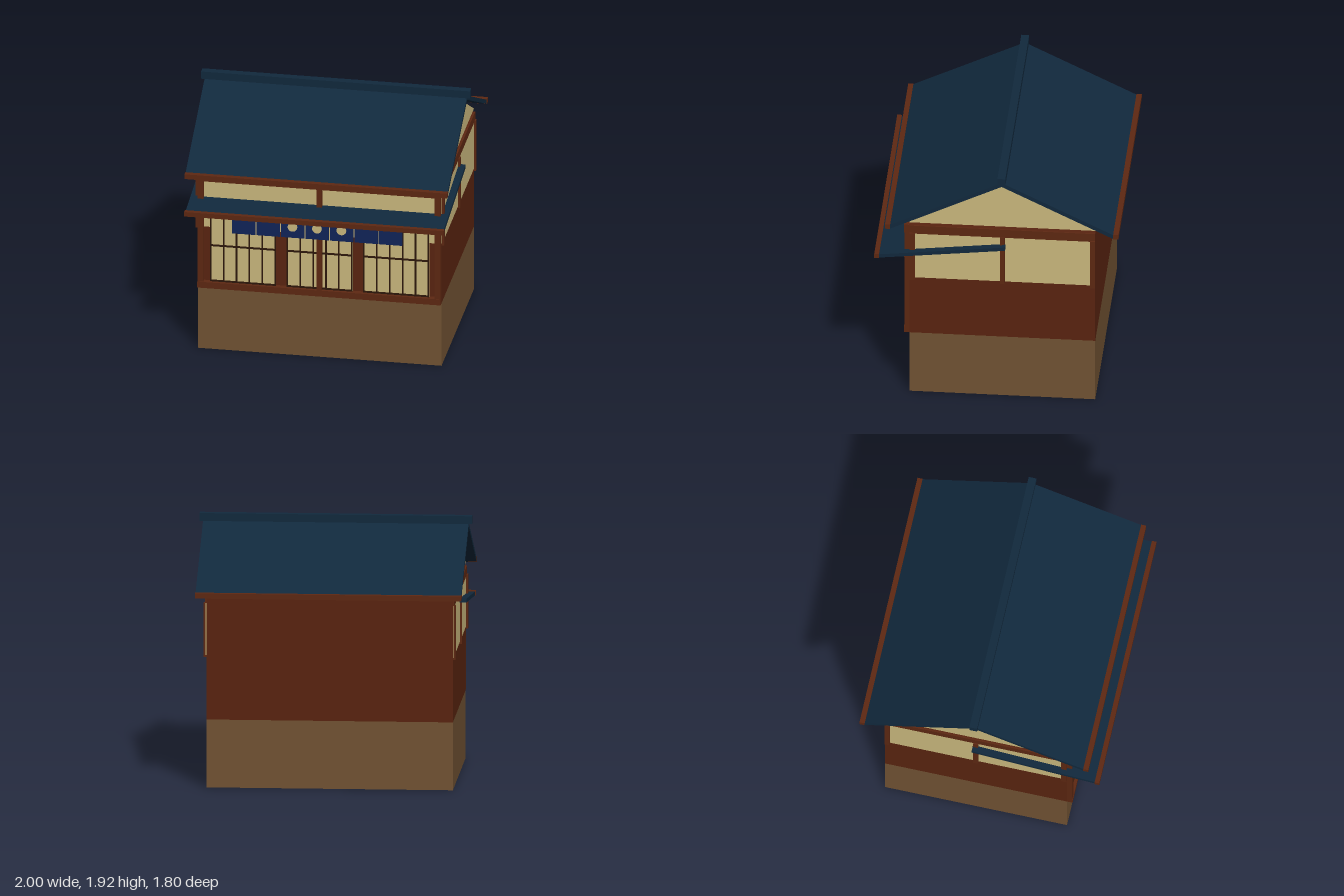
import * as THREE from 'three';

const mat = (name, color) => {
  const m = new THREE.MeshStandardMaterial({ color });
  m.name = name;
  return m;
};

export function createModel() {
  const model = new THREE.Group();
  model.name = 'shopHouse';
  const stone = mat('earth brown', 0x725333);
  const wallWood = mat('wall wood', 0x5a2410);
  const trim = mat('trim wood', 0x5e2812);
  const plaster = mat('cream', 0xcbb97e);
  const tile = mat('roof navy', 0x11293d);
  const cloth = mat('curtain blue', 0x102459);
  const dark = mat('lattice brown', 0x2d170a);

  const add = (name, geometry, material) => {
    const mesh = new THREE.Mesh(geometry, material);
    mesh.name = name;
    model.add(mesh);
    return mesh;
  };
  // Box given by its limits on each axis
  const box = (name, material, x0, x1, y0, y1, z0, z1) => {
    const m = add(name, new THREE.BoxGeometry(x1 - x0, y1 - y0, z1 - z0), material);
    m.position.set((x0 + x1) / 2, (y0 + y1) / 2, (z0 + z1) / 2);
    return m;
  };
  // Sloping slab whose centre line runs between two (z, y) points
  const slab = (name, halfWidth, thick, z0, y0, z1, y1) => {
    const length = Math.hypot(z1 - z0, y1 - y0);
    const m = add(name, new THREE.BoxGeometry(halfWidth * 2, thick, length), tile);
    m.position.set(0, (y0 + y1) / 2, (z0 + z1) / 2);
    m.rotation.x = -Math.atan2(y1 - y0, z1 - z0);
  };

  const W = 0.905, F = 0.645, B = -0.72, ridgeZ = -0.0375;

  // Body
  box('foundation', stone, -W, W, 0, 0.505, B, F);
  box('walls', wallWood, -W, W, 0.505, 1.43, B, F);

  // Side walls: plaster, posts, header and gable
  const gable = new THREE.Shape([
    new THREE.Vector2(-F, 1.455), new THREE.Vector2(-B, 1.455), new THREE.Vector2(-ridgeZ, 1.85),
  ]);
  for (const s of [1, -1]) {
    const side = (name, material, depth, y0, y1, z0, z1) =>
      box(name, material, Math.min(s * W, s * (W + depth)), Math.max(s * W, s * (W + depth)), y0, y1, z0, z1);
    side('sidePlaster', plaster, 0.005, 0.985, 1.37, B, F);
    side('sideHeader', trim, 0.01, 1.365, 1.433, B, F);
    side('sideFrontPost', trim, 0.02, 0.97, 1.372, 0.605, F);
    side('sideMiddlePost', trim, 0.02, 0.97, 1.372, -0.055, -0.02);
    side('sideRearPost', trim, 0.02, 0.97, 1.372, B, -0.682);
    const g = add('gable', new THREE.ExtrudeGeometry(gable, { depth: 0.02, bevelEnabled: false }), plaster);
    g.rotation.y = Math.PI / 2;
    g.position.x = s > 0 ? W - 0.02 : -W;
  }

  // Front timber frame and upper plaster
  box('frontPlaster', plaster, -0.87, 0.87, 0.985, 1.37, F, 0.65);
  box('frontSill', trim, -W, W, 0.505, 0.553, F, 0.687);
  box('frontRail', trim, -W, W, 1.153, 1.2, F, 0.685);
  box('frontHeader', trim, -W, W, 1.365, 1.433, F, 0.687);
  box('centrePost', trim, -0.02, 0.02, 0.505, 1.37, F, 0.685);
  for (const s of [1, -1]) {
    const x = s * 0.883;
    box('cornerPost', trim, x - 0.022, x + 0.022, 0.505, 1.43, F, 0.683);
  }

  // Lattice screens
  for (const cx of [-0.57, 0, 0.57]) {
    const h = 0.245, y0 = 0.553, y1 = 1.13;
    box('screenPaper', plaster, cx - h, cx + h, y0, y1, F, 0.654);
    for (let i = 0; i <= 5; i++) {
      const x = cx - h + 0.005 + i * (2 * h - 0.01) / 5;
      box('screenUpright', dark, x - 0.005, x + 0.005, y0, y1, 0.654, 0.664);
    }
    for (const y of [y0 + 0.005, 0.842, y1 - 0.006]) {
      box('screenCrossbar', dark, cx - h, cx + h, y - 0.006, y + 0.006, 0.654, 0.663);
    }
  }

  // Awning over the front, carried back along the sides
  slab('awning', 0.96, 0.028, -0.06, 1.295, 0.885, 1.184);
  box('awningTrim', trim, -0.965, 0.965, 1.17, 1.206, 0.865, 0.9);

  // Curtain panels with round marks
  for (let i = -3; i <= 3; i++) {
    const x = i * 0.182;
    box('curtainPanel', cloth, x - 0.087, x + 0.087, 1.0, 1.185, 0.759, 0.766);
    if (Math.abs(i) > 1) continue;
    const disc = add('curtainDisc', new THREE.CylinderGeometry(0.036, 0.036, 0.006, 20), plaster);
    disc.rotation.x = Math.PI / 2;
    disc.position.set(x, 1.088, 0.769);
  }

  // Main roof
  slab('roofFront', 0.975, 0.03, ridgeZ, 1.858, 0.798, 1.445);
  slab('roofBack', 0.975, 0.03, ridgeZ, 1.858, -0.873, 1.445);
  box('frontEaveTrim', trim, -0.977, 0.977, 1.435, 1.473, 0.782, 0.82);
  box('backEaveTrim', trim, -0.977, 0.977, 1.435, 1.473, -0.897, -0.858);
  box('ridgeBeam', tile, -1, 1, 1.866, 1.924, -0.067, -0.009);

  return model;
}
